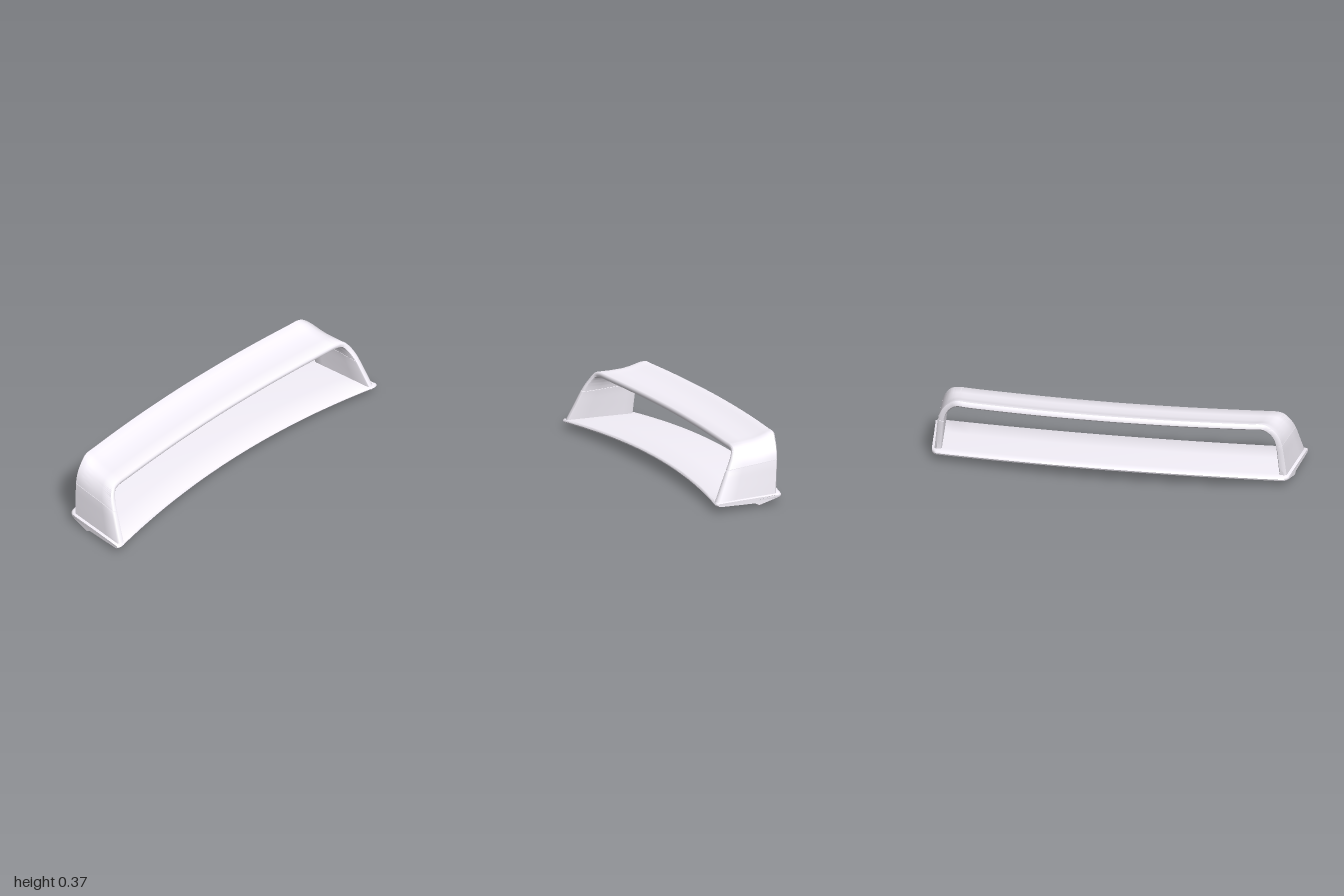
import * as THREE from 'three';
import { toCreasedNormals } from 'three/addons/utils/BufferGeometryUtils.js';

const { clamp, lerp } = THREE.MathUtils;

// Joins closed rings of points into a capped solid, facing outwards
function loft(rings) {
  const n = rings[0].length, pos = rings.flat(), faces = [];
  for (let i = 0; i < rings.length - 1; i++) {
    for (let j = 0; j < n; j++) {
      const a = i * n + j, b = i * n + (j + 1) % n;
      faces.push([a, b, a + n], [b, b + n, a + n]);
    }
  }
  [0, rings.length - 1].forEach((r, end) => {
    const c = pos.length;
    pos.push(rings[r].reduce((s, p) => s.add(p), new THREE.Vector3()).divideScalar(n));
    for (let j = 0; j < n; j++) {
      const a = r * n + j, b = r * n + (j + 1) % n;
      faces.push(end ? [c, a, b] : [c, b, a]);
    }
  });
  const volume = faces.reduce((s, [a, b, c]) =>
    s + pos[a].dot(new THREE.Vector3().crossVectors(pos[b], pos[c])), 0);
  if (volume < 0) faces.forEach(f => f.reverse());
  const geo = new THREE.BufferGeometry().setFromPoints(pos);
  geo.setIndex(faces.flat());
  return toCreasedNormals(geo, 0.75);
}

// Left half of the hoop: outer front point and outer rear point per station
const STATIONS = [
  [[0.985, 0.042, 0.238], [0.945, 0.055, -0.131]],
  [[0.968, 0.128, 0.197], [0.935, 0.148, -0.138]],
  [[0.95, 0.212, 0.158], [0.924, 0.237, -0.146]],
  [[0.926, 0.27, 0.128], [0.904, 0.295, -0.151]],
  [[0.893, 0.31, 0.109], [0.868, 0.338, -0.158]],
  [[0.845, 0.322, 0.102], [0.82, 0.365, -0.168]],
  [[0.76, 0.322, 0.094], [0.74, 0.365, -0.177]],
  [[0.55, 0.322, 0.079], [0.53, 0.365, -0.194]],
  [[0.3, 0.322, 0.066], [0.3, 0.365, -0.206]],
  [[0, 0.322, 0.06], [0, 0.365, -0.212]],
];
const LAST = 2 * (STATIONS.length - 1);

function edgeCurve(k) {
  const half = STATIONS.map(s => new THREE.Vector3(...s[k]));
  const other = half.slice(0, -1).reverse().map(p => new THREE.Vector3(-p.x, p.y, p.z));
  return new THREE.CatmullRomCurve3([...half, ...other], false, 'catmullrom', 0.5);
}
const frontEdge = edgeCurve(0), rearEdge = edgeCurve(1);

// Hoop cross-section: position along chord, dip of the wing, share of thickness
const SECTION = [
  [0, 0, 0.6], [0.01, 0, 0.2], [0.04, 0, 0], [0.3, 0.008, 0], [0.55, 0.012, 0],
  [0.7, 0.008, 0], [0.82, 0.002, 0], [0.88, -0.001, 0], [0.97, -0.001, 0], [1, 0, 0.3],
  [1, 0, 0.85], [0.97, 0.002, 1], [0.85, 0.006, 1], [0.7, 0.009, 1], [0.3, 0.008, 1],
  [0.04, 0.001, 1], [0.01, 0, 0.9],
];

function hoopRing(t) {
  const mid = s => frontEdge.getPoint(s / LAST).add(rearEdge.getPoint(s / LAST));
  const f = frontEdge.getPoint(t / LAST), b = rearEdge.getPoint(t / LAST);
  const tangent = mid(Math.min(t + 0.02, LAST)).sub(mid(Math.max(t - 0.02, 0)));
  const inward = tangent.cross(b.clone().sub(f)).normalize();
  const d = Math.min(t, LAST - t);
  const wing = clamp((d - 2) / 3, 0, 1);
  const thick = lerp(0.039, 0.029, clamp(d / 4, 0, 1));
  return SECTION.map(([u, dip, share]) =>
    f.clone().lerp(b, u).addScaledVector(inward, dip * wing + share * thick));
}

function hoopPart(t0, t1, steps) {
  return loft(Array.from({ length: steps + 1 }, (_, i) => hoopRing(lerp(t0, t1, i / steps))));
}

// Base cross-section as (z, y): nose, top, rear edge, stepped underside
const BASE = [
  [0.158, 0.039], [0.156, 0.045], [0.149, 0.05], [0, 0.054], [-0.2, 0.058], [-0.232, 0.058],
  [-0.242, 0.054], [-0.246, 0.046], [-0.242, 0.037], [-0.23, 0.033], [-0.114, 0.001],
  [-0.103, -0.001], [-0.097, 0.006], [-0.086, 0.016], [0, 0.019], [0.14, 0.026], [0.153, 0.031],
];

function baseRing(s) {
  const end = clamp((Math.abs(s) - 0.97) / 0.03, 0, 1) ** 2;
  return BASE.map(([z, y]) => new THREE.Vector3(
    s * lerp(0.957, 1, clamp((z + 0.246) / 0.4, 0, 1)),
    0.044 + (y - 0.044) * (1 - 0.3 * end) + 0.028 * (1 - s * s),
    z + 0.09 * s * s + (z < -0.2 ? 0.02 : z > 0.1 ? -0.012 : 0) * end,
  ));
}

export function createModel() {
  const group = new THREE.Group();
  const material = new THREE.MeshStandardMaterial({ color: 0xf6f2fb });
  const add = (name, geometry) => {
    const mesh = new THREE.Mesh(geometry, material);
    mesh.name = name;
    group.add(mesh);
  };

  // Curved base plank with rounded ends
  const half = [0.1, 0.2, 0.3, 0.4, 0.5, 0.6, 0.7, 0.8, 0.9, 0.97, 0.98, 0.99, 0.996, 1];
  const spans = [...half.map(s => -s).reverse(), 0, ...half];
  add('base', loft(spans.map(baseRing)));

  // Side struts, parted from the wing by a fine seam
  add('leftStrut', hoopPart(0, 1.985, 8));
  add('rightStrut', hoopPart(LAST - 1.985, LAST, 8));

  // Upper wing with rounded shoulders and rear lip
  add('wing', hoopPart(2.015, LAST - 2.015, 84));

  return group;
}
